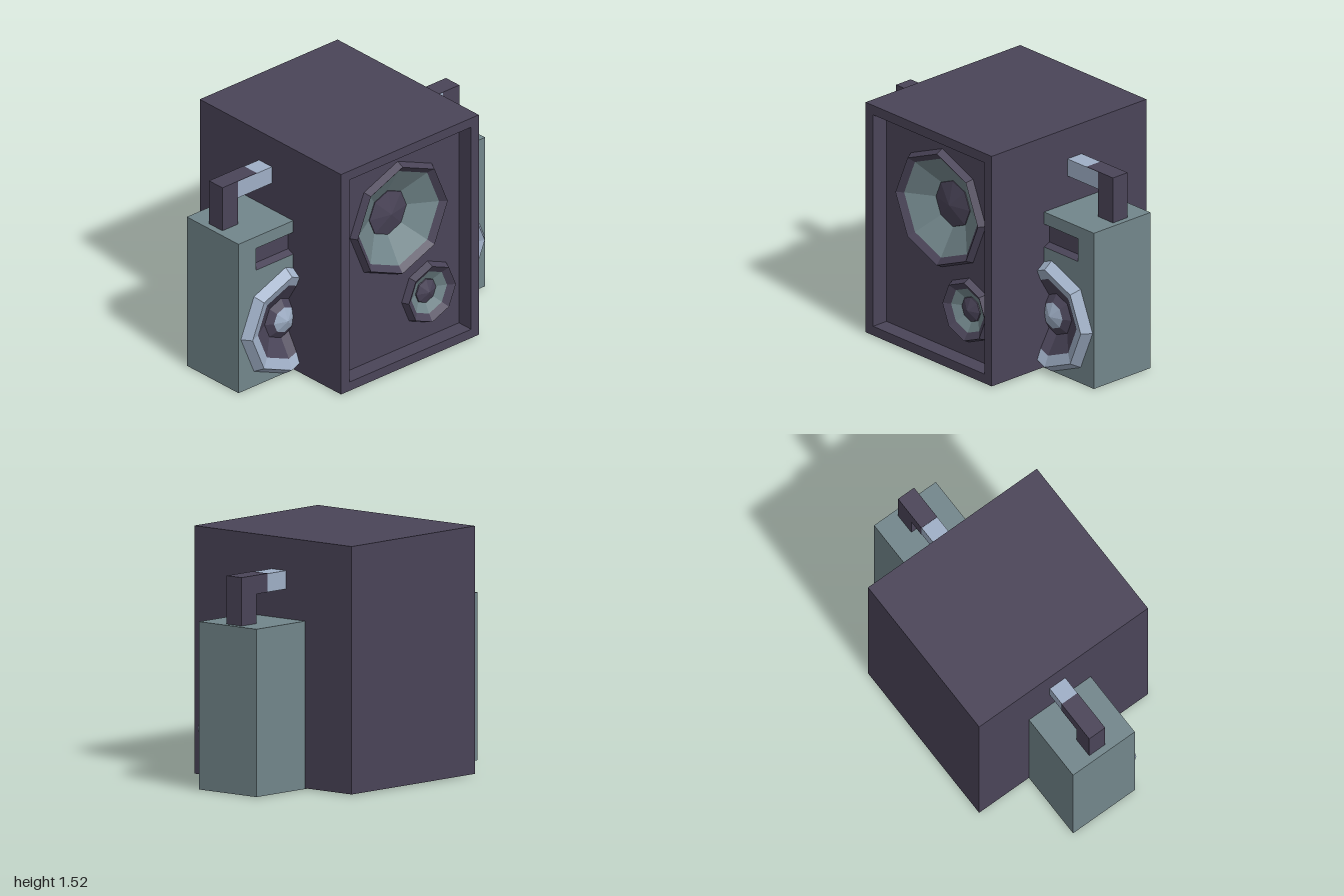
import * as THREE from 'three';

const mat = (name, color) => {
  const m = new THREE.MeshStandardMaterial({ color });
  m.name = name;
  return m;
};

export function createModel() {
  const dark = mat('dark plum', 0x4a4458);
  const teal = mat('grey teal', 0x72868b);
  const blue = mat('pale steel blue', 0x9fafc6);
  const model = new THREE.Group();

  const add = (parent, name, geo, material) => {
    const mesh = new THREE.Mesh(geo, material);
    mesh.name = name;
    parent.add(mesh);
    return mesh;
  };
  // Box given by its limits on each axis
  const box = (parent, name, material, x0, x1, y0, y1, z0, z1) =>
    add(parent, name, new THREE.BoxGeometry(x1 - x0, y1 - y0, z1 - z0), material)
      .position.set((x0 + x1) / 2, (y0 + y1) / 2, (z0 + z1) / 2);
  const rect = (Type, x0, x1, y0, y1) => new Type([
    [x0, y0], [x1, y0], [x1, y1], [x0, y1]].map(p => new THREE.Vector2(...p)));
  const octagon = (x, y, r) => new THREE.Path(Array.from({ length: 8 }, (_, i) =>
    new THREE.Vector2(x + r * Math.sin(i * Math.PI / 4), y + r * Math.cos(i * Math.PI / 4))));
  // Flat panel with holes, from z0 to z1
  const panel = (parent, name, material, outline, holes, z0, z1) => {
    outline.holes = holes;
    const geo = new THREE.ExtrudeGeometry(outline, { depth: z1 - z0, bevelEnabled: false });
    add(parent, name, geo.translate(0, 0, z0), material);
  };
  // Faceted eight-sided ring; profile is [radius, z] from the outside in
  const ring = (parent, name, material, profile) => {
    const geo = new THREE.LatheGeometry(profile.map(p => new THREE.Vector2(...p)), 8)
      .rotateX(Math.PI / 2).toNonIndexed();
    geo.computeVertexNormals();
    add(parent, name, geo, material);
  };
  const speaker = (name, x, y, z, parts) => {
    const g = new THREE.Group();
    g.name = name;
    g.position.set(x, y, z);
    for (const [part, material, profile] of parts) ring(g, part, material, profile);
    model.add(g);
  };

  // Central cabinet with a recessed front
  const cabinet = new THREE.Group();
  cabinet.name = 'cabinet';
  model.add(cabinet);
  const [cl, cr, cb, ct] = [-0.557, 0.56, 0.012, 1.522];
  box(cabinet, 'cabinetBody', dark, cl, cr, cb, ct, -0.635, 0.4);
  panel(cabinet, 'cabinetBaffle', dark, rect(THREE.Shape, cl, cr, cb, ct),
    [octagon(0, 0.975, 0.34), octagon(0.243, 0.38, 0.17)], 0.4, 0.525);
  panel(cabinet, 'cabinetFrame', dark, rect(THREE.Shape, cl, cr, cb, ct),
    [rect(THREE.Path, -0.49, 0.498, 0.072, 1.46)], 0.525, 0.635);

  speaker('largeSpeaker', 0.002, 0.975, 0.525, [
    ['largeRim', dark, [[0.388, 0], [0.365, 0.045], [0.325, 0.01]]],
    ['largeCone', teal, [[0.325, 0.01], [0.13, -0.105]]],
    ['largeDome', dark, [[0.155, -0.105], [0.15, -0.088], [0, -0.055]]],
  ]);
  speaker('smallSpeaker', 0.243, 0.38, 0.525, [
    ['smallRim', dark, [[0.21, 0], [0.19, 0.045], [0.145, 0.015]]],
    ['smallCone', teal, [[0.148, 0.015], [0.07, -0.025]]],
    ['smallDome', dark, [[0.085, -0.025], [0.08, -0.012], [0, 0.02]]],
  ]);

  // Wide body behind the cabinet
  const body = new THREE.Group();
  body.name = 'wideBody';
  model.add(body);
  box(body, 'wideBodyBack', teal, -1, 1, 0.008, 1.03, -0.26, 0.1);
  panel(body, 'wideBodyFront', teal, rect(THREE.Shape, -1, 1, 0.008, 1.03), [
    octagon(-0.625, 0.37, 0.28), octagon(0.628, 0.37, 0.28),
    rect(THREE.Path, -0.86, 0.86, 0.8, 0.95)], 0.1, 0.204);

  // Slot with sloping walls across the front
  const outer = [[-0.86, 0.8, 0.204], [0.86, 0.8, 0.204], [0.86, 0.95, 0.204], [-0.86, 0.95, 0.204]];
  const inner = [[-0.84, 0.82, 0.16], [0.845, 0.82, 0.16], [0.845, 0.93, 0.16], [-0.84, 0.93, 0.16]];
  const pts = [];
  for (let i = 0; i < 4; i++) {
    const j = (i + 1) % 4;
    pts.push(outer[i], outer[j], inner[j], outer[i], inner[j], inner[i]);
  }
  pts.push(inner[0], inner[1], inner[2], inner[0], inner[2], inner[3]);
  const slot = new THREE.BufferGeometry();
  slot.setAttribute('position', new THREE.Float32BufferAttribute(pts.flat(), 3));
  slot.computeVertexNormals();
  add(body, 'slot', slot, dark);

  // Side speakers
  for (const [name, x] of [['rightSpeaker', -0.618], ['leftSpeaker', 0.626]]) {
    speaker(name, x, 0.368, 0.204, [
      ['sideRim', blue, [[0.363, 0], [0.32, 0.058], [0.252, 0.03]]],
      ['sideCone', dark, [[0.252, 0.03], [0.135, -0.04], [0.085, -0.01]]],
      ['sideDome', blue, [[0.085, -0.01], [0, 0.022]]],
    ]);
  }

  // Carrying handle: posts, grip and the dark end caps on its top and back
  const handle = new THREE.Group();
  handle.name = 'handle';
  model.add(handle);
  box(handle, 'rightPost', dark, -0.958, -0.83, 1.03, 1.325, -0.107, 0.013);
  box(handle, 'leftPost', dark, 0.83, 0.963, 1.03, 1.325, -0.107, 0.013);
  box(handle, 'grip', blue, -0.83, 0.83, 1.21, 1.322, -0.104, 0.013);
  for (const [x0, x1] of [[-0.83, -0.68], [0.73, 0.83]]) {
    box(handle, 'gripTopCap', dark, x0, x1, 1.322, 1.325, -0.107, 0.013);
    box(handle, 'gripBackCap', dark, x0, x1, 1.21, 1.322, -0.107, -0.104);
  }
  return model;
}
